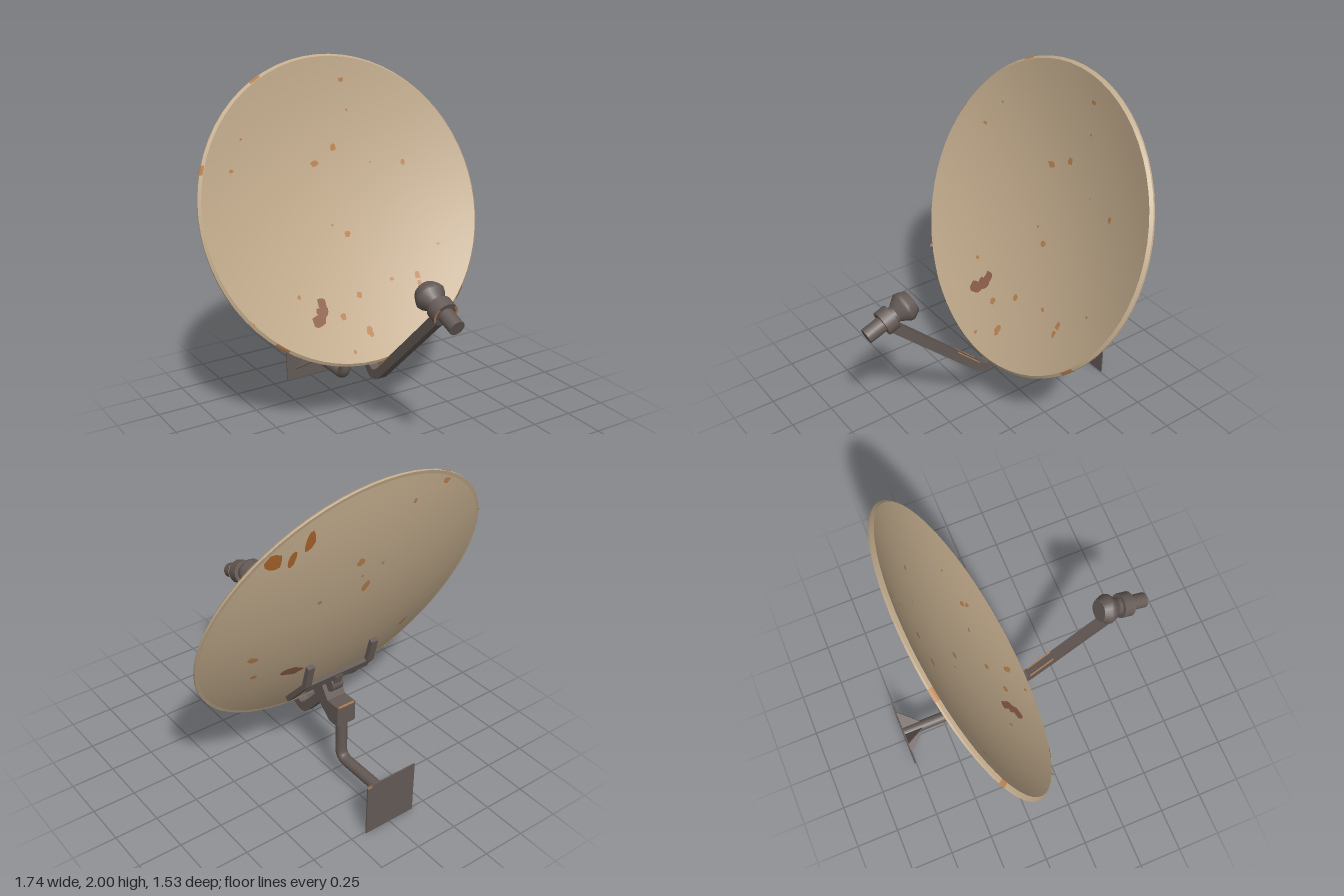
import * as THREE from 'three';

const mat = (name, color, side = THREE.FrontSide) => {
  const m = new THREE.MeshStandardMaterial({ color, side });
  m.name = name;
  return m;
};

export function createModel() {
  const model = new THREE.Group();
  model.name = 'satelliteDish';
  const beige = mat('weathered beige', 0xc2ab8c);
  const metal = mat('dark metal', 0x645a56);
  const rust = mat('orange rust', 0xb98250, THREE.DoubleSide);
  const brown = mat('brown rust', 0x8f604b, THREE.DoubleSide);
  const deep = mat('deep orange rust', 0xa8642a, THREE.DoubleSide);

  const add = (name, geo, material, parent = model) => {
    const mesh = new THREE.Mesh(geo, material);
    mesh.name = name;
    parent.add(mesh);
    return mesh;
  };
  const V = (y, z) => new THREE.Vector3(0, y, z);

  // Outline in [z, y], extruded across x
  const sidePlate = (pts, width, x = 0) => {
    const shape = new THREE.Shape(pts.map(p => new THREE.Vector2(p[0], p[1])));
    return new THREE.ExtrudeGeometry(shape, { depth: width, bevelEnabled: false })
      .translate(0, 0, -width / 2).rotateY(-Math.PI / 2).translate(x, 0, 0);
  };

  // Pipe with one rounded bend at b
  const bentPipe = (a, b, c, bend, r) => {
    const p = b.clone().add(a.clone().sub(b).setLength(bend));
    const q = b.clone().add(c.clone().sub(b).setLength(bend));
    const path = new THREE.CurvePath();
    path.add(new THREE.LineCurve3(a, p));
    path.add(new THREE.QuadraticBezierCurve3(p, b, q));
    path.add(new THREE.LineCurve3(q, c));
    return new THREE.TubeGeometry(path, 48, r, 12);
  };

  // ---- Reflector: local z is the dish axis, local y runs up the face
  const R = 0.87, RB = 0.852, RI = 0.855, tilt = 0.376;
  const backZ = r2 => -0.15 + 0.124 * r2 / (RB * RB);
  const frontZ = r2 => -0.137 + 0.137 * r2 / (RI * RI);
  const dish = new THREE.Group();
  dish.name = 'reflector';
  dish.position.set(0, 1.195, -0.29);
  dish.rotation.x = -tilt;
  model.add(dish);
  const lathe = (pts, start, length) => new THREE.LatheGeometry(
    pts.map(p => new THREE.Vector2(...p)), 64, start, length).rotateX(Math.PI / 2);
  const rings = Array.from({ length: 15 }, (_, i) => i / 14);
  add('dishBack', lathe(rings.map(t => [RB * t, backZ((RB * t) ** 2)])), beige, dish);
  add('dishFace', lathe(rings.map(t => [RI * (1 - t), frontZ((RI * (1 - t)) ** 2)])), beige, dish);
  add('rimFlange', lathe([[RB, -0.026], [R, -0.024]]), beige, dish);
  add('rimEdge', lathe([[R, -0.024], [R, -0.014]]), beige, dish);
  add('rimBevel', lathe([[R, -0.014], [RI, 0]]), beige, dish);

  // Rust on the rim, centred on the direction [x, v]
  for (const [x, v, len] of [[-0.4, 0.77, 0.08], [-0.8, 0.33, 0.06], [-0.55, -0.67, 0.1], [0.63, -0.6, 0.1]]) {
    // the lathe angle runs from local -y toward +x
    const mid = Math.atan2(x, -v);
    add('rimRust', lathe([[R + 0.001, -0.024], [R + 0.001, -0.014], [RI + 0.002, 0.001]], mid - len / 2, len), rust, dish);
  }

  // ---- Rust patches that follow the dish surface
  let seed = 7;
  const rand = () => (seed = (seed * 16807) % 2147483647) / 2147483647;
  const patch = (x, v, w, h, material, back = false, turn = 0) => {
    const g = new THREE.CircleGeometry(1, 11);
    const pos = g.attributes.position;
    const wobble = Array.from({ length: 11 }, () => 0.75 + 0.45 * rand());
    for (let i = 0; i < pos.count; i++) {
      const k = i === 0 ? 1 : wobble[(i - 1) % 11];
      const a = pos.getX(i) * k * w, b = pos.getY(i) * k * h;
      const px = x + (a * Math.cos(turn) - b * Math.sin(turn)) * (back ? -1 : 1);
      const py = v + a * Math.sin(turn) + b * Math.cos(turn);
      const r2 = px * px + py * py;
      pos.setXYZ(i, px, py, back ? backZ(r2) - 0.003 : frontZ(r2) + 0.003);
    }
    g.computeVertexNormals();
    add(back ? 'backRust' : 'frontRust', g, material, dish);
  };
  // Front spots are placed by their height above the ground
  const frontPatch = (x, y, w, h, material = rust, turn = 0) => {
    let v = 0;
    for (let i = 0; i < 8; i++) {
      v = (y - dish.position.y - Math.sin(tilt) * frontZ(x * x + v * v)) / Math.cos(tilt);
    }
    patch(x, v, w, h, material, false, turn);
  };
  [
    [0.14, 1.85, 0.018, 0.012], [0.16, 1.68, 0.007, 0.008], [0.05, 1.485, 0.018, 0.02],
    [-0.08, 1.415, 0.027, 0.018], [0.27, 1.38, 0.006, 0.005], [0.47, 1.36, 0.014, 0.018],
    [-0.62, 1.46, 0.013, 0.01], [-0.53, 1.61, 0.008, 0.008], [-0.04, 1.08, 0.007, 0.008],
    [0.04, 1.02, 0.02, 0.02], [0.58, 0.9, 0.01, 0.008], [0.245, 0.755, 0.013, 0.012],
    [0.405, 0.755, 0.018, 0.022], [0.405, 0.71, 0.014, 0.018], [-0.36, 0.77, 0.012, 0.012],
    [-0.12, 0.625, 0.018, 0.02], [-0.12, 0.46, 0.01, 0.012], [0.018, 0.71, 0.018, 0.022],
    [0.015, 0.53, 0.02, 0.03], [-0.69, 0.72, 0.01, 0.012],
  ].forEach(s => frontPatch(...s));
  frontPatch(-0.27, 0.64, 0.05, 0.035, brown, 0.3);
  frontPatch(-0.24, 0.67, 0.042, 0.035, brown);
  frontPatch(-0.23, 0.71, 0.03, 0.035, brown);

  [
    [0.57, 0.57, 0.045, 0.04, deep], [0.48, 0.57, 0.018, 0.045, deep], [0.4, 0.65, 0.025, 0.05, deep],
    [0.086, 0.435, 0.022, 0.024, rust], [0.016, 0.246, 0.022, 0.036, rust], [-0.063, 0.369, 0.01, 0.01, rust],
    [0.053, 0.331, 0.008, 0.008, rust], [0.283, 0.239, 0.012, 0.012, rust], [0.573, -0.106, 0.03, 0.025, rust],
    [0.527, -0.28, 0.018, 0.018, rust], [0.29, -0.335, 0.07, 0.035, brown], [-0.49, -0.36, 0.022, 0.036, rust],
    [-0.39, -0.69, 0.022, 0.055, rust], [-0.2, 0.69, 0.012, 0.012, rust], [-0.41, 0.72, 0.025, 0.018, rust],
  ].forEach(([x, v, w, h, m]) => patch(x, v, w, h, m, true, -0.3));

  // ---- Wall plate, four diagonal gussets and mast
  add('wallPlate', new THREE.BoxGeometry(0.32, 0.32, 0.008).translate(0, 0.16, -0.757), metal);
  add('plateRust', new THREE.BoxGeometry(0.03, 0.012, 0.01).translate(0.145, 0.314, -0.757), rust);
  for (let i = 0; i < 4; i++) {
    const fin = add('gusset', sidePlate([[-0.755, 0], [-0.64, 0], [-0.64, 0.03], [-0.755, 0.15]], 0.006), metal);
    fin.position.y = 0.165;
    fin.rotation.z = Math.PI / 4 + i * Math.PI / 2;
  }
  add('mastPipe', bentPipe(V(0.5, -0.332), V(0.165, -0.332), V(0.165, -0.755), 0.065, 0.033), metal);

  // ---- Tilting mount
  add('mountClamp', sidePlate([[-0.14, 0.55], [-0.3, 0.42], [-0.37, 0.42], [-0.37, 0.545],
    [-0.28, 0.545], [-0.225, 0.625]], 0.12), metal);
  add('clampRust', new THREE.BoxGeometry(0.1, 0.008, 0.008).translate(0, 0.543, -0.368), rust);
  add('pivot', new THREE.CylinderGeometry(0.045, 0.045, 0.07, 16).rotateZ(Math.PI / 2).translate(0, 0.627, -0.25), metal);
  add('pivotNeck', sidePlate([[-0.21, 0.6], [-0.28, 0.6], [-0.305, 0.7], [-0.255, 0.7]], 0.05), metal);
  add('crossbar', new THREE.BoxGeometry(0.42, 0.05, 0.026).rotateX(-tilt).translate(0, 0.695, -0.28), metal);
  for (const x of [-0.21, 0.21]) {
    add('dishBracket', sidePlate([[-0.34, 0.855], [-0.308, 0.715], [-0.15, 0.535], [-0.128, 0.556],
      [-0.28, 0.725], [-0.316, 0.865]], 0.042, x), metal);
  }

  // ---- Feed arm, a flat-sided bar with a soft bend
  add('feedArm', sidePlate([[0.62, 0.838], [0.07, 0.311], [0.045, 0.296], [0.01, 0.289], [-0.02, 0.294],
    [-0.045, 0.312], [-0.25, 0.55], [-0.21, 0.59], [-0.02, 0.357], [0.01, 0.343], [0.042, 0.357],
    [0.58, 0.877]], 0.054), metal);
  for (const x of [-0.0235, 0.0235]) {
    add('armRust', sidePlate([[0.055, 0.365], [0.2, 0.505], [0.2, 0.512], [0.055, 0.372]], 0.008, x), rust);
  }

  // ---- Receiver: tail, collar and horn on one axis
  const receiver = new THREE.Group();
  receiver.name = 'receiver';
  receiver.position.set(0, 0.85, 0.748);
  receiver.rotation.x = -(Math.PI / 2 - 0.37);
  model.add(receiver);
  const rod = (name, r, s0, s1) =>
    add(name, new THREE.CylinderGeometry(r, r, s1 - s0, 16).translate(0, (s0 + s1) / 2, 0), metal, receiver);
  rod('receiverTail', 0.043, 0, 0.11);
  rod('receiverCollar', 0.07, 0.105, 0.17);
  rod('receiverNeck', 0.048, 0.16, 0.2);
  const horn = [[0.048, 0.19], [0.08, 0.236], [0.085, 0.25], [0.08, 0.266], [0.062, 0.302]];
  add('feedHorn', new THREE.LatheGeometry(horn.map(p => new THREE.Vector2(...p)), 14), metal, receiver);
  add('hornCap', new THREE.CircleGeometry(0.062, 14).rotateX(-Math.PI / 2).translate(0, 0.302, 0), metal, receiver);
  // Rust along the collar edge
  for (const start of [-0.5, 2.4]) {
    add('collarRust', new THREE.RingGeometry(0.058, 0.071, 10, 1, start, 1.3)
      .rotateX(Math.PI / 2).translate(0, 0.103, 0), rust, receiver);
  }

  return model;
}
